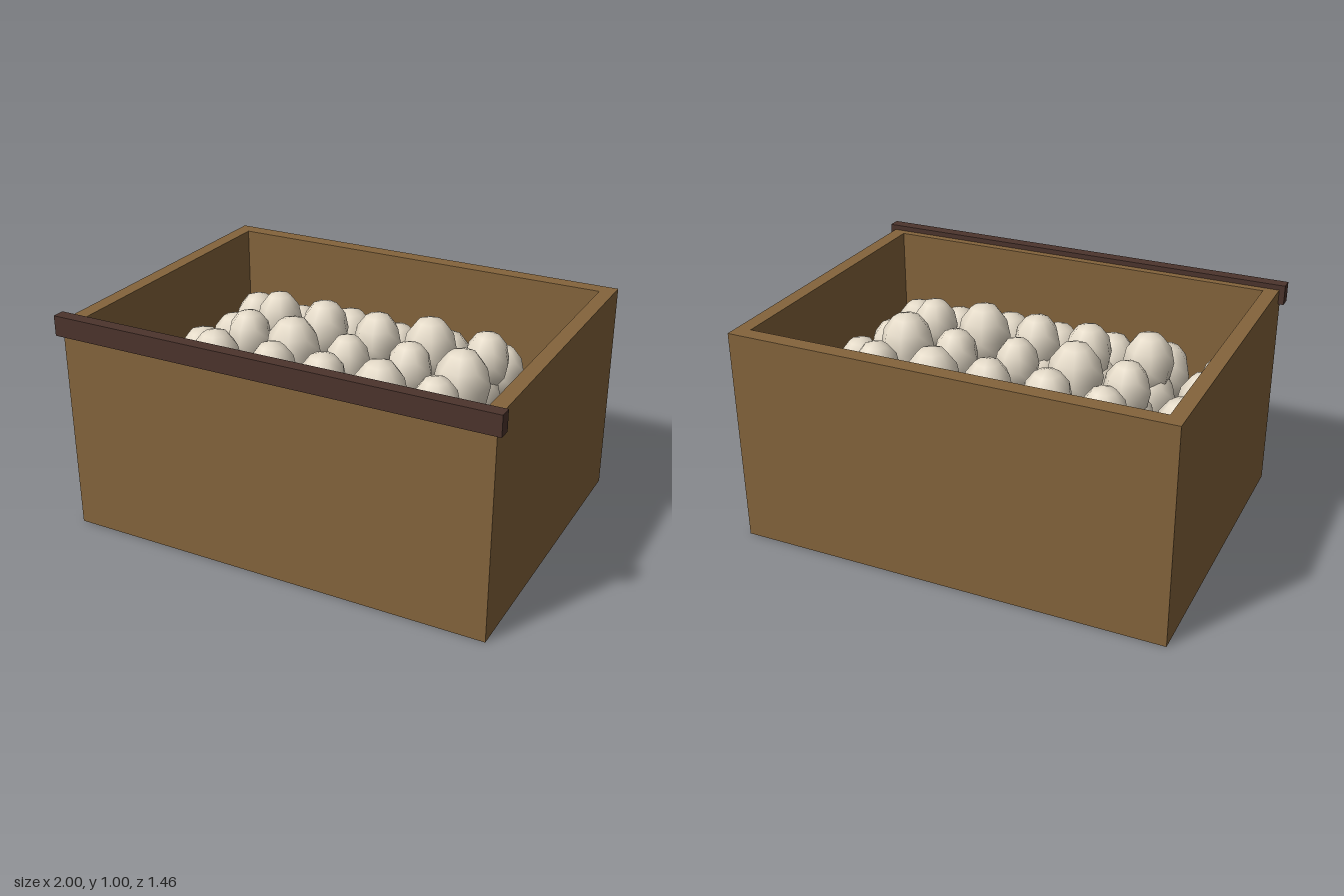
import * as THREE from 'three';

// One row per line of eggs, back to front: [x, z, radius]
const EGGS = [
  [[-0.8, -0.56, 0.118], [-0.55, -0.56, 0.1], [-0.28, -0.565, 0.125], [-0.02, -0.56, 0.105], [0.25, -0.54, 0.12], [0.515, -0.56, 0.1], [0.77, -0.535, 0.122]],
  [[-0.765, -0.285, 0.115], [-0.52, -0.3, 0.105], [-0.26, -0.27, 0.115], [0.015, -0.265, 0.11], [0.265, -0.29, 0.122], [0.535, -0.3, 0.105], [0.81, -0.28, 0.105]],
  [[-0.775, -0.025, 0.13], [-0.525, -0.035, 0.105], [-0.275, 0, 0.125], [0, 0, 0.1], [0.28, -0.04, 0.105], [0.535, -0.02, 0.125], [0.8, 0.005, 0.11]],
  [[-0.785, 0.26, 0.125], [-0.52, 0.255, 0.115], [-0.24, 0.245, 0.11], [0.01, 0.245, 0.11], [0.27, 0.23, 0.122], [0.525, 0.23, 0.105], [0.765, 0.245, 0.11]],
  [[-0.81, 0.485, 0.12], [-0.52, 0.52, 0.115], [-0.265, 0.5, 0.122], [0.01, 0.495, 0.125], [0.27, 0.515, 0.125], [0.545, 0.515, 0.11], [0.78, 0.53, 0.105]],
];

// How far the lower egg of each inner stack is shifted from the upper one: [dx, dz]
const SHIFTS = [
  [[0, 0.01], [-0.02, -0.02], [0.01, 0], [0, 0.01], [-0.035, 0.035]],
  [[-0.01, 0.02], [0.02, -0.015], [-0.01, 0.01], [-0.01, 0.02], [-0.01, 0]],
  [[-0.02, -0.01], [-0.03, 0.015], [-0.03, -0.02], [-0.015, 0.01], [-0.02, -0.005]],
];

export function createModel() {
  const model = new THREE.Group();
  const wood = new THREE.MeshStandardMaterial({ color: 0x84643c });
  wood.name = 'wood';
  const darkWood = new THREE.MeshStandardMaterial({ color: 0x4c342c });
  darkWood.name = 'dark wood';
  const shell = new THREE.MeshStandardMaterial({ color: 0xe4dac8 });
  shell.name = 'eggshell';

  const add = (name, geometry, material, x, y, z, parent = model) => {
    const mesh = new THREE.Mesh(geometry, material);
    mesh.name = name;
    mesh.position.set(x, y, z);
    parent.add(mesh);
    return mesh;
  };
  const rectangle = (Type, w, h) => new Type([
    new THREE.Vector2(-w, -h), new THREE.Vector2(w, -h),
    new THREE.Vector2(w, h), new THREE.Vector2(-w, h),
  ]);

  // Four crate walls as one upright frame
  const outline = rectangle(THREE.Shape, 0.975, 0.72);
  outline.holes.push(rectangle(THREE.Path, 0.91, 0.65));
  const walls = new THREE.ExtrudeGeometry(outline, { depth: 0.977, bevelEnabled: false });
  walls.rotateX(-Math.PI / 2);
  add('crateWalls', walls, wood, 0, 0, -0.012);

  // Raised floor that the eggs rest on
  add('crateFloor', new THREE.BoxGeometry(1.82, 0.42, 1.3), wood, 0, 0.21, -0.012);

  // Dark strip along the top of the front
  add('frontTrim', new THREE.BoxGeometry(2, 0.09, 0.056), darkWood, 0, 0.955, 0.702);

  // Tall low-poly eggs, stacked two high away from the walls
  const eggs = new THREE.Group();
  eggs.name = 'eggs';
  model.add(eggs);
  const eggGeometry = new THREE.SphereGeometry(1, 8, 6);
  const addEgg = (name, x, y, z, r, turn) => {
    const egg = add(name, eggGeometry, shell, x, y, z, eggs);
    egg.scale.set(r, r * 1.3, r);
    egg.rotation.y = turn;
  };
  EGGS.forEach((row, j) => row.forEach(([x, z, r], i) => {
    const turn = (i * 7 + j * 3) * 0.37;
    const stacked = j > 0 && j < 4 && i > 0 && i < 6;
    if (stacked) {
      const [dx, dz] = SHIFTS[j - 1][i - 1];
      addEgg('lowerEgg', x + dx, 0.55, z + dz, 0.113, turn + 0.5);
    }
    addEgg(stacked ? 'upperEgg' : 'lowerEgg', x, stacked ? 0.71 : 0.55, z, r, turn);
  }));

  return model;
}
